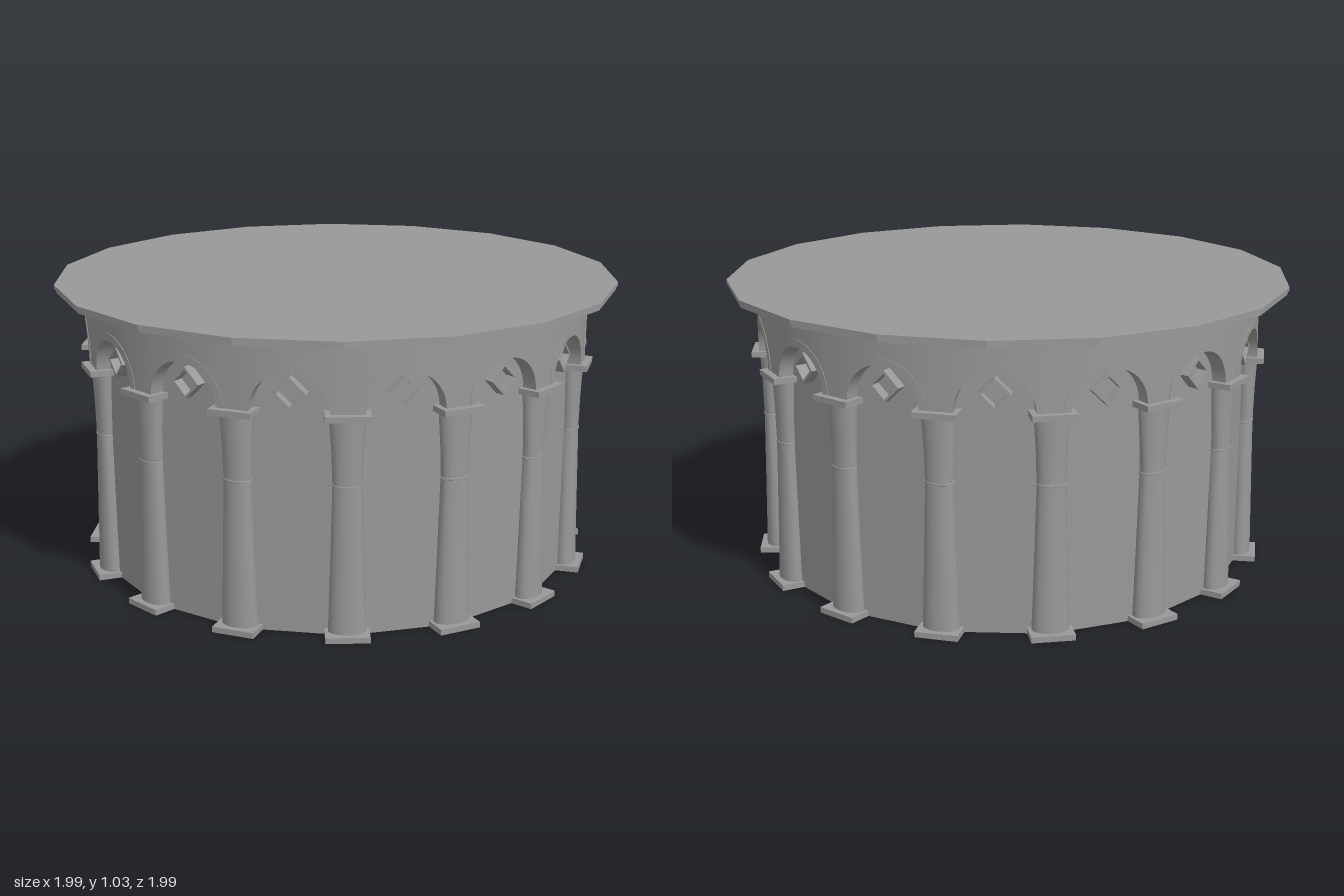
import * as THREE from 'three';
import { toCreasedNormals } from 'three/addons/utils/BufferGeometryUtils.js';

const BAYS = 15;
const STEP = (Math.PI * 2) / BAYS;
const WALL_R = 0.855;      // wall corners and column centres
const BAND_R = 0.895;      // outside of the arcade band
const SPRING_Y = 0.765;    // height at which the arches spring
const ARCH_R = 0.132;
const TOP_Y = 1.0;

// Point on a cylinder of radius r; angle measured from the front towards +x
const polar = (r, angle, y) => [r * Math.sin(angle), y, r * Math.cos(angle)];

// Joins successive closed cross-sections into a skin
function loft(sections) {
  const n = sections[0].length;
  const index = [];
  for (let i = 0; i < sections.length - 1; i++) {
    for (let k = 0; k < n; k++) {
      const a = i * n + k, b = i * n + ((k + 1) % n);
      index.push(a, a + n, b + n, a, b + n, b);
    }
  }
  const geo = new THREE.BufferGeometry();
  geo.setAttribute('position', new THREE.Float32BufferAttribute(sections.flat(2), 3));
  geo.setIndex(index);
  return toCreasedNormals(geo, 0.6);
}

// Ring wall whose underside rises in a round arch over every bay
function arcadeGeometry() {
  const sections = [];
  const inner = 0.832, segs = 20;
  const add = (angle, y) => sections.push([
    polar(BAND_R, angle, y), polar(BAND_R, angle, TOP_Y),
    polar(inner, angle, TOP_Y), polar(inner, angle, y),
  ]);
  for (let bay = 0; bay < BAYS; bay++) {
    const mid = bay * STEP;
    add(mid - STEP / 2, SPRING_Y);
    for (let s = 0; s <= segs; s++) {
      const a = Math.PI * (1 - s / segs);
      add(mid + (ARCH_R * Math.cos(a)) / BAND_R, SPRING_Y + ARCH_R * Math.sin(a));
    }
  }
  add(BAYS * STEP - STEP / 2, SPRING_Y);
  return loft(sections);
}

// Slim, barely raised moulding around the head of one arch
function archMouldingGeometry() {
  const sections = [];
  const segs = 20, front = BAND_R + 0.002, back = BAND_R - 0.01;
  for (let s = 0; s <= segs; s++) {
    const a = Math.PI * (1 - s / segs);
    const at = (r, depth) =>
      polar(depth, (r * Math.cos(a)) / BAND_R, SPRING_Y + r * Math.sin(a));
    sections.push([at(ARCH_R, front), at(0.157, front), at(0.157, back), at(ARCH_R, back)]);
  }
  return loft(sections);
}

// Square frame standing on its corner, showing on both sides of the wall
function diamondGeometry() {
  const diamond = (path, r) =>
    path.setFromPoints([[r, 0], [0, r], [-r, 0], [0, -r]].map(([x, y]) => new THREE.Vector2(x, y)));
  const shape = diamond(new THREE.Shape(), 0.054);
  shape.holes.push(diamond(new THREE.Path(), 0.043));
  return new THREE.ExtrudeGeometry(shape, { depth: 0.07, bevelEnabled: false }).translate(0, 0, -0.035);
}

// Waisted shaft with a fine ring, flattened towards the wall
function shaftGeometry() {
  const profile = [
    [0.063, 0.015], [0.06, 0.1], [0.054, 0.3], [0.048, 0.517], [0.0505, 0.518],
    [0.0505, 0.524], [0.048, 0.525], [0.051, 0.63], [0.059, 0.75],
  ].map(([r, y]) => new THREE.Vector2(r, y));
  const geo = new THREE.LatheGeometry(profile, 20);
  geo.scale(1, 1, 0.67);
  return toCreasedNormals(geo, 0.5);
}

export function createModel() {
  const model = new THREE.Group();
  model.name = 'roundArcadedBuilding';
  const color = 0x999999;
  const stone = new THREE.MeshStandardMaterial({ color });
  const thinStone = new THREE.MeshStandardMaterial({ color, side: THREE.DoubleSide, flatShading: true });

  const add = (parent, name, geometry, material = stone) => {
    const mesh = new THREE.Mesh(geometry, material);
    mesh.name = name;
    parent.add(mesh);
    return mesh;
  };

  // Open wall, one flat panel per bay
  add(model, 'wall', new THREE.CylinderGeometry(WALL_R, WALL_R, TOP_Y, BAYS, 1, true, STEP / 2), thinStone)
    .position.y = TOP_Y / 2;

  add(model, 'arcadeBand', arcadeGeometry());

  // Flat eighteen-sided roof in two thin layers
  const roofLayer = (name, r, y) => {
    const geo = new THREE.CylinderGeometry(r, r, 0.013, 18, 1, false, THREE.MathUtils.degToRad(15));
    add(model, name, toCreasedNormals(geo, 0.2)).position.y = y;
  };
  roofLayer('roofSlab', 1, 1.0195);
  roofLayer('roofUnderside', 0.994, 1.0065);

  const mouldingGeo = archMouldingGeometry();
  const diamondGeo = diamondGeometry();
  const shaftGeo = shaftGeometry();
  const plinthGeo = new THREE.BoxGeometry(0.147, 0.02, 0.096);
  const capitalGeo = new THREE.BoxGeometry(0.147, 0.02, 0.116);

  for (let i = 0; i < BAYS; i++) {
    // Arch moulding and diamond in the middle of the bay
    const bay = new THREE.Group();
    bay.name = 'bay';
    bay.rotation.y = i * STEP;
    add(bay, 'archMoulding', mouldingGeo);
    add(bay, 'diamondFrame', diamondGeo).position.set(0, 0.822, 0.84);
    model.add(bay);

    // Column between two bays
    const column = new THREE.Group();
    column.name = 'column';
    column.rotation.y = (i + 0.5) * STEP;
    add(column, 'shaft', shaftGeo).position.z = WALL_R + 0.003;
    add(column, 'plinth', plinthGeo).position.set(0, 0.01, WALL_R + 0.017);
    add(column, 'capital', capitalGeo).position.set(0, 0.755, WALL_R + 0.007);
    model.add(column);
  }
  return model;
}
